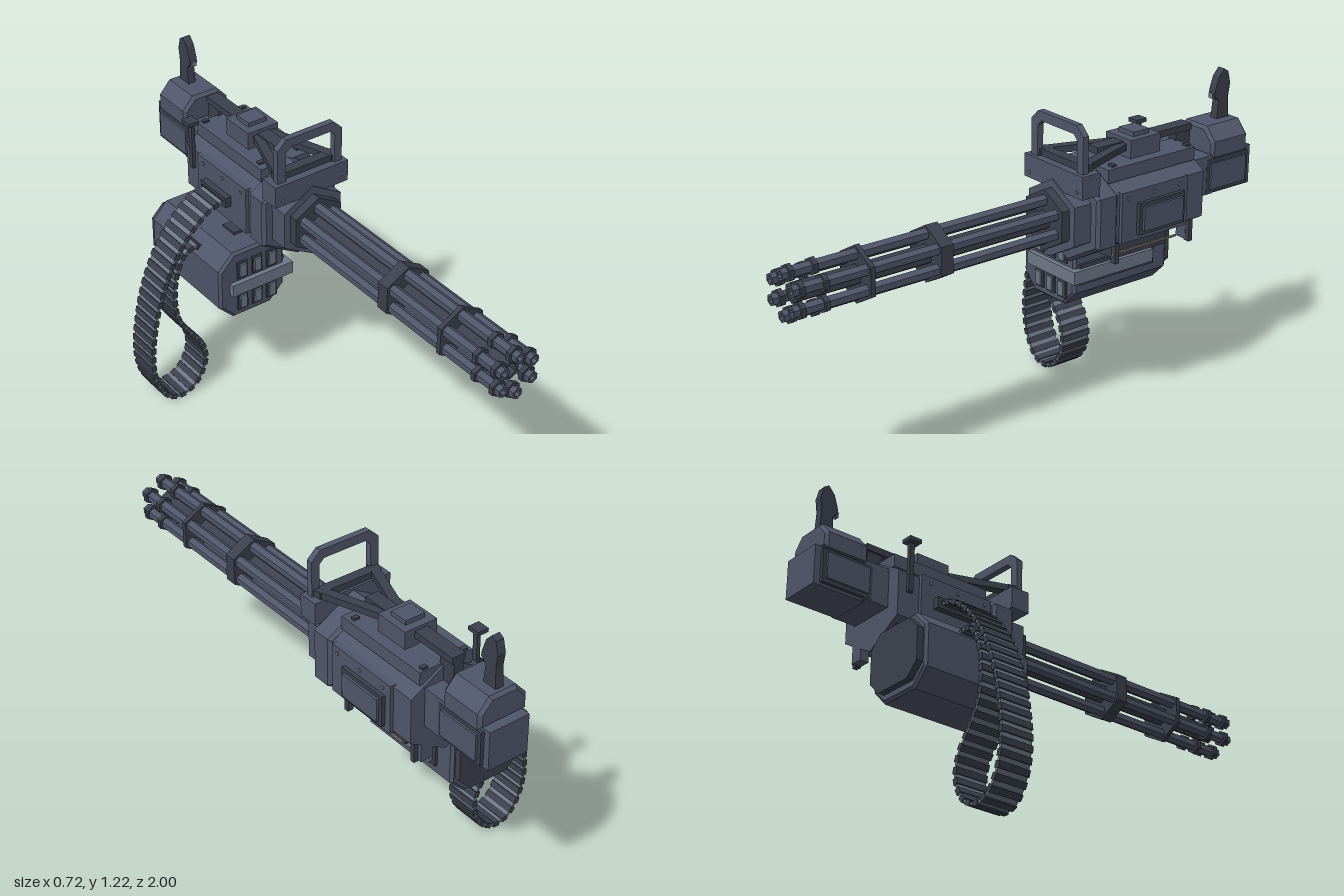
import * as THREE from 'three';

const mat = (color) => new THREE.MeshStandardMaterial({ color, flatShading: true });
const steel = mat(0x50566a), dark = mat(0x3b404d), light = mat(0x6f7887), brass = mat(0x857c70);
const CX = 0.17, CY = 0.83; // barrel axis

export function createModel() {
  const root = new THREE.Group();

  const add = (name, geo, material = steel, parent = root) => {
    const m = new THREE.Mesh(geo, material);
    m.name = name;
    parent.add(m);
    return m;
  };
  const group = (name) => {
    const g = new THREE.Group();
    g.name = name;
    root.add(g);
    return g;
  };
  // box given by its limits on each axis
  const box = (name, x0, x1, y0, y1, z0, z1, material, parent) => {
    const m = add(name, new THREE.BoxGeometry(x1 - x0, y1 - y0, Math.abs(z1 - z0)), material, parent);
    m.position.set((x0 + x1) / 2, (y0 + y1) / 2, (z0 + z1) / 2);
    return m;
  };
  const toShape = (pts) => new THREE.Shape(pts.map(([x, y]) => new THREE.Vector2(x, y)));
  // xy outline swept from z0 up to z1
  const prism = (name, pts, z0, z1, material, parent, hole, bevel = 0) => {
    const s = toShape(pts);
    if (hole) s.holes.push(toShape(hole));
    const geo = new THREE.ExtrudeGeometry(s, {
      depth: z1 - z0 - 2 * bevel, bevelEnabled: bevel > 0, bevelSize: bevel,
      bevelThickness: bevel, bevelOffset: -bevel, bevelSegments: 1,
    });
    geo.translate(0, 0, z0 + bevel);
    return add(name, geo, material, parent);
  };
  const hex = (x, y, r) => Array.from({ length: 6 }, (_, i) => {
    const a = Math.PI / 2 + i * Math.PI / 3;
    return [x + r * Math.cos(a), y + r * Math.sin(a)];
  });
  const chamfered = (x0, x1, y0, y1, c) => [
    [x0 + c, y0], [x1 - c, y0], [x1, y0 + c], [x1, y1 - c],
    [x1 - c, y1], [x0 + c, y1], [x0, y1 - c], [x0, y0 + c]];

  // Rotating barrel cluster
  const barrels = group('barrels');
  prism('centreTube', hex(CX, CY, 0.038), -0.1, 0.96, dark, barrels, hex(CX, CY, 0.026));
  hex(CX, CY, 0.073).forEach(([x, y]) => {
    prism('barrel', hex(x, y, 0.022), -0.1, 1, steel, barrels, hex(x, y, 0.013));
    for (const z of [0.96, 0.87])
      prism('barrelCollar', hex(x, y, 0.032), z, z + 0.018, dark, barrels, hex(x, y, 0.02));
  });
  for (const [z0, z1] of [[0.695, 0.713], [0.38, 0.43]])
    prism('barrelClamp', hex(CX, CY, 0.105), z0, z1, dark, barrels);

  // Hexagonal receiver
  const body = group('receiver');
  prism('barrelSocket', hex(CX, CY, 0.115), -0.12, -0.08, dark, body);
  prism('frontHousing', hex(CX, CY, 0.145), -0.2, -0.115, steel, body);
  prism('collar', hex(CX, CY, 0.19), -0.285, -0.19, steel, body, null, 0.012);
  prism('mainHousing', hex(CX, CY, 0.175), -0.7, -0.28, steel, body);
  prism('lowerHousing', [[0.02, 0.75], [0.02, 0.735], [CX, 0.645], [0.32, 0.735], [0.32, 0.75]],
    -0.61, -0.28, dark, body);
  box('frontBlock', 0.01, 0.33, 0.94, 1.025, -0.2, -0.12, steel, body);
  box('topPlate', 0.06, 0.28, 0.95, 1.0, -0.69, -0.28, steel, body);
  for (const s of [-1, 1]) {
    const m = box('sidePlate', -0.015, 0.015, 0.735, 0.925, -0.61, -0.3, steel, body);
    m.position.x = CX + s * 0.15;
    const rail = add('guideRod', new THREE.CylinderGeometry(0.005, 0.005, 0.38, 6).rotateX(Math.PI / 2), brass, body);
    rail.position.set(CX + s * 0.083, 0.99, -0.49);
    const low = add('lowerGuideRod', new THREE.CylinderGeometry(0.005, 0.005, 0.3, 6).rotateX(Math.PI / 2), brass, body);
    low.position.set(CX + s * 0.11, 0.675, -0.46);
    for (const z of [-0.32, -0.675]) {
      const post = box('rodBracket', -0.012, 0.012, 0.93, 1.008, z - 0.009, z + 0.009, dark, body);
      post.position.x = CX + s * 0.083;
      const foot = box('lowerRodBracket', -0.012, 0.012, 0.64, 0.73, z - 0.009, z + 0.009, dark, body);
      foot.position.x = CX + s * 0.11;
    }
    // rivets on the front block and side plates
    const front = add('rivet', new THREE.CylinderGeometry(0.007, 0.007, 0.006, 6).rotateX(Math.PI / 2), light, body);
    front.position.set(CX + s * 0.13, 0.962, -0.119);
    for (const z of [-0.33, -0.45, -0.57]) {
      const r = add('rivet', new THREE.CylinderGeometry(0.007, 0.007, 0.006, 6).rotateZ(Math.PI / 2), light, body);
      r.position.set(CX + s * 0.166, 0.9, z);
    }
  }
  box('sideCover', 0.32, 0.35, 0.755, 0.875, -0.585, -0.37, dark, body);
  box('sideCoverPanel', 0.34, 0.36, 0.77, 0.86, -0.57, -0.385, steel, body);
  box('rearBracket', 0.225, 0.275, 0.645, 0.74, -0.7, -0.665, steel, body);
  box('leftPost', 0.005, 0.02, 0.84, 1.045, -0.665, -0.645, dark, body);
  box('leftPostCap', -0.015, 0.03, 1.03, 1.045, -0.68, -0.63, dark, body);

  // Carrying handle with its braces and top bar
  const top = group('carryHandle');
  prism('handleFrame',
    [[0.03, 1.02], [0.065, 1.02], [0.065, 1.14], [0.085, 1.16], [0.26, 1.16], [0.28, 1.14], [0.28, 1.02],
      [0.312, 1.02], [0.312, 1.16], [0.275, 1.195], [0.067, 1.195], [0.03, 1.16]],
    -0.16, -0.135, steel, top);
  for (const s of [-1, 1]) {
    const a = new THREE.Vector3(CX + s * 0.12, 1.038, -0.15), b = new THREE.Vector3(CX + s * 0.015, 1.038, -0.45);
    const brace = add('handleBrace', new THREE.BoxGeometry(0.035, 0.025, a.distanceTo(b)), dark, top);
    brace.position.copy(a).lerp(b, 0.5);
    brace.lookAt(b);
  }
  box('crossBar', 0.04, 0.3, 1.02, 1.05, -0.19, -0.15, dark, top);
  box('topBar', 0.143, 0.197, 1.03, 1.055, -0.75, -0.3, dark, top);
  box('topBarSupport', 0.15, 0.19, 0.93, 1.035, -0.75, -0.68, dark, top);
  box('feedBlock', 0.103, 0.237, 0.99, 1.068, -0.56, -0.42, steel, top);
  box('feedBlockCap', 0.13, 0.21, 1.065, 1.085, -0.53, -0.455, steel, top);

  // Rear drive unit and upright grip
  const rear = group('rearUnit');
  box('rearNeck', 0.075, 0.265, 0.79, 0.94, -0.8, -0.69, steel, rear);
  box('rearBox', 0.088, 0.252, 0.785, 0.935, -1, -0.79, steel, rear);
  prism('rearTop', [[0.07, 0.93], [0.27, 0.93], [0.27, 0.99], [0.225, 1.04], [0.115, 1.04], [0.07, 0.99]],
    -0.97, -0.79, steel, rear, null, 0.012);
  for (const s of [-1, 1]) {
    const frame = box('rearPanelFrame', -0.01, 0.01, 0.795, 0.925, -0.975, -0.77, dark, rear);
    frame.position.x = CX + s * 0.086;
    const panel = box('rearPanel', -0.01, 0.01, 0.81, 0.91, -0.96, -0.785, steel, rear);
    panel.position.x = CX + s * 0.094;
  }
  const grip = prism('grip',
    [[-0.945, 1.03], [-0.885, 1.03], [-0.893, 1.11], [-0.87, 1.13], [-0.875, 1.155], [-0.89, 1.2],
      [-0.915, 1.228], [-0.935, 1.215], [-0.947, 1.17], [-0.94, 1.12]],
    -0.016, 0.016, dark, rear);
  grip.rotation.y = -Math.PI / 2; // outline runs along z
  grip.position.x = CX;
  box('trigger', 0.16, 0.18, 1.12, 1.14, -0.88, -0.865, light, rear);

  // Ammunition drum
  const drum = group('ammoDrum');
  prism('drumBody', chamfered(-0.15, 0.14, 0.425, 0.71, 0.062), -0.7, -0.25, steel, drum, null, 0.01);
  prism('drumBackPlate', chamfered(-0.135, 0.125, 0.455, 0.68, 0.05), -0.725, -0.695, dark, drum);
  box('frontRail', -0.105, 0.165, 0.535, 0.585, -0.3, -0.23, light, drum);
  box('sideRail', 0.13, 0.165, 0.535, 0.585, -0.61, -0.25, light, drum);
  box('sideRailBase', 0.12, 0.15, 0.52, 0.6, -0.625, -0.27, dark, drum);
  for (const x of [-0.052, 0.013, 0.078]) for (const y of [0.632, 0.492]) {
    box('roundFrame', x - 0.022, x + 0.022, y - 0.036, y + 0.036, -0.26, -0.243, dark, drum);
    box('round', x - 0.014, x + 0.014, y - 0.027, y + 0.027, -0.25, -0.236, light, drum);
  }
  box('drumMount', 0.03, 0.25, 0.64, 0.72, -0.59, -0.34, dark, drum);
  box('drumLatch', -0.015, 0.04, 0.69, 0.72, -0.42, -0.35, dark, drum);

  // Hanging ammunition belt
  const belt = group('ammoBelt');
  box('beltInlet', -0.02, 0.035, 0.805, 0.847, -0.555, -0.395, dark, belt);
  const path = new THREE.CatmullRomCurve3([
    [0, 0.828], [-0.075, 0.81], [-0.155, 0.75], [-0.237, 0.645], [-0.3, 0.505], [-0.338, 0.35], [-0.35, 0.205],
    [-0.328, 0.1], [-0.28, 0.032], [-0.22, 0.018], [-0.155, 0.055], [-0.117, 0.14], [-0.13, 0.22],
    [-0.18, 0.295], [-0.23, 0.38], [-0.243, 0.48], [-0.23, 0.58], [-0.195, 0.655], [-0.15, 0.675], [-0.1, 0.655],
  ].map(([x, y]) => new THREE.Vector3(x, y, -0.475)));
  const links = 46, step = path.getLength() / links;
  for (let i = 0; i < links * 2; i++) {
    const t = (i + 0.5) / (links * 2), p = path.getPointAt(t), d = path.getTangentAt(t);
    const isLink = i % 2 === 0;
    const m = add(isLink ? 'beltLink' : 'beltStrip',
      new THREE.BoxGeometry(step * (isLink ? 0.6 : 0.75), isLink ? 0.02 : 0.01, isLink ? 0.132 : 0.126),
      isLink ? dark : light, belt);
    m.position.copy(p);
    m.rotation.z = Math.atan2(d.y, d.x);
  }
  return root;
}
